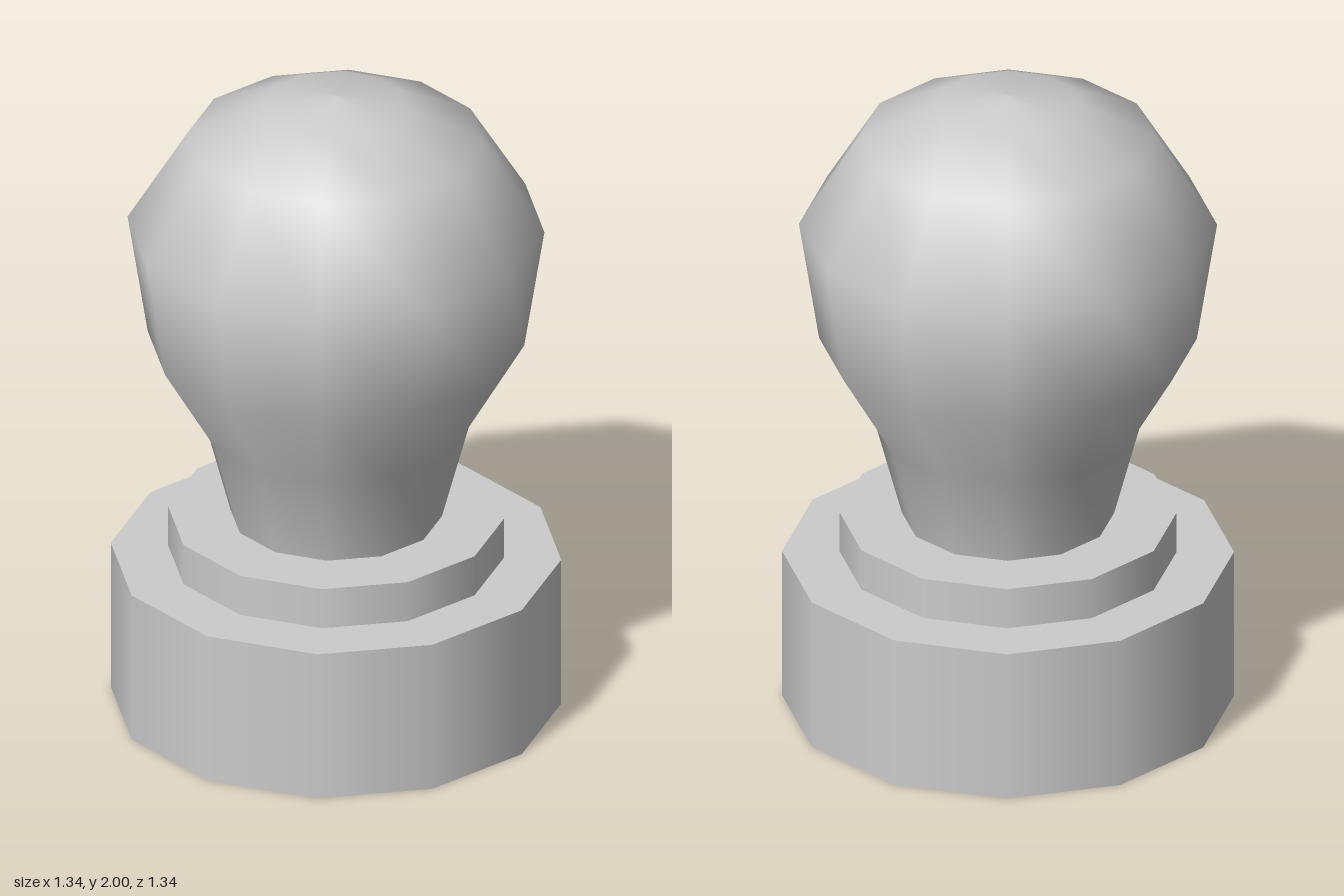
import * as THREE from 'three';

const SIDES = 12;

export function createModel() {
  const model = new THREE.Group();
  const material = new THREE.MeshStandardMaterial({ color: 0xcccccc, side: THREE.DoubleSide });

  // Each section is its own lathe, so edges between sections stay sharp
  const addLathe = (name, profile) => {
    const points = profile.map(([r, y]) => new THREE.Vector2(r, y));
    const mesh = new THREE.Mesh(new THREE.LatheGeometry(points, SIDES), material);
    mesh.name = name;
    model.add(mesh);
  };

  // Hollow stepped base, open underneath
  addLathe('baseWall', [[0.67, 0], [0.67, 0.48]]);
  addLathe('baseLedge', [[0.67, 0.48], [0.5, 0.48]]);
  addLathe('collarWall', [[0.5, 0.48], [0.5, 0.61]]);
  addLathe('collarLedge', [[0.5, 0.61], [0.315, 0.61]]);

  // Smooth bulb-shaped knob
  addLathe('knob', [
    [0.315, 0.61], [0.395, 0.91], [0.56, 1.19], [0.62, 1.57],
    [0.44, 1.86], [0.215, 1.97], [0, 2],
  ]);

  return model;
}
